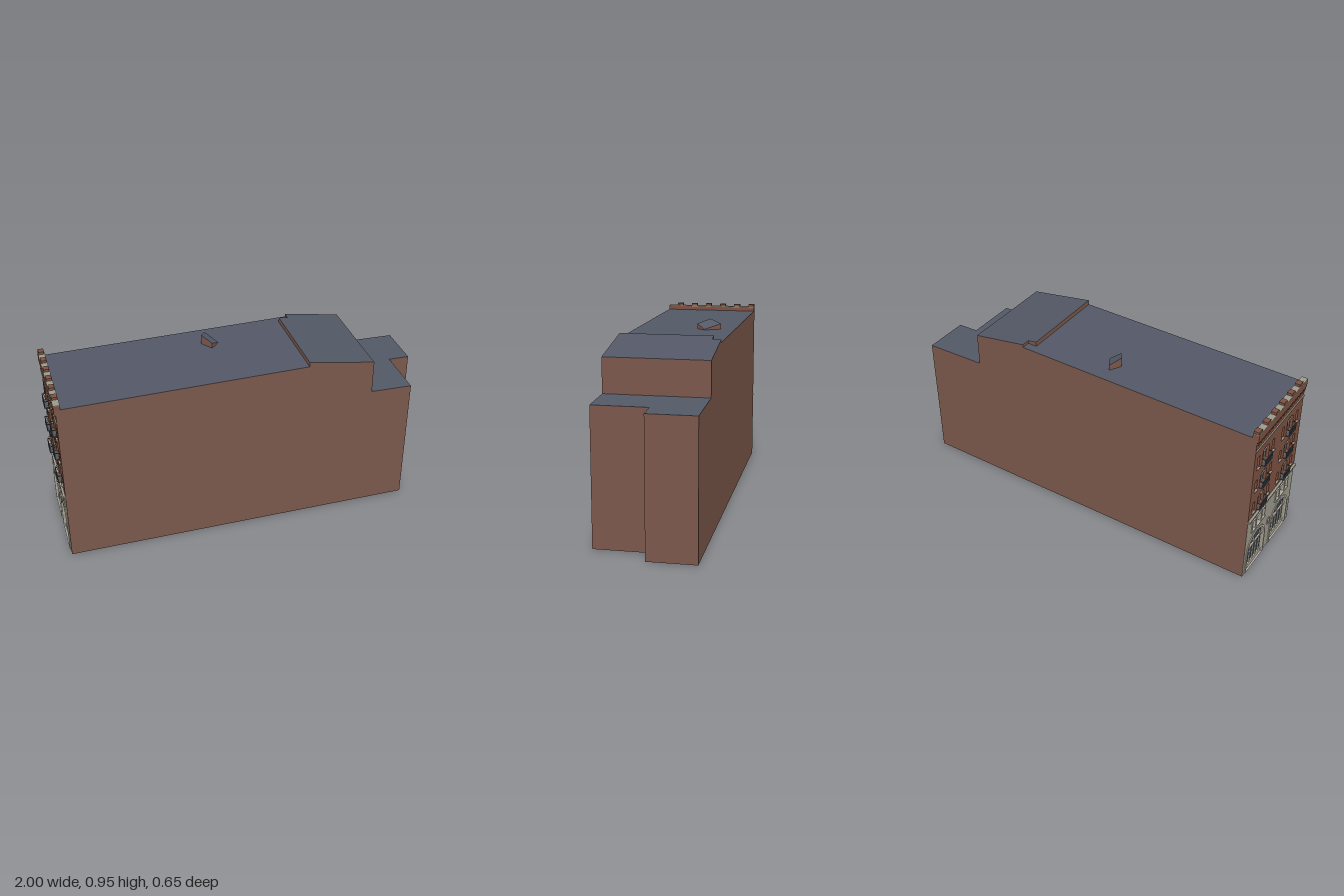
import * as THREE from 'three';

const mat = (name, color) => {
  const m = new THREE.MeshStandardMaterial({ color, side: THREE.DoubleSide });
  m.name = name;
  return m;
};

export function createModel() {
  const brick = mat('brick', 0x7a574b);
  const facadeBrick = mat('facade brick', 0x7d5140);
  const slate = mat('slate', 0x535866);
  const stone = mat('stone', 0x9c988c);
  const trim = mat('pale trim', 0xbdb8aa);
  const glass = mat('glass', 0x3d4558);
  const iron = mat('iron', 0x50555c);

  const model = new THREE.Group();
  model.name = 'townhouse';
  const house = new THREE.Group();
  house.name = 'house';
  house.rotation.y = -0.0706;
  model.add(house);

  const add = (parent, name, geo, material, x = 0, y = 0, z = 0) => {
    const mesh = new THREE.Mesh(geo, material);
    mesh.name = name;
    mesh.position.set(x, y, z);
    parent.add(mesh);
    return mesh;
  };
  const box = (parent, name, material, w, h, d, x, y, z) =>
    add(parent, name, new THREE.BoxGeometry(w, h, d), material, x, y, z);

  // Flat convex face from its corner points
  const face = (name, material, ...pts) => {
    const tri = [];
    for (let i = 1; i < pts.length - 1; i++) tri.push(...pts[0], ...pts[i], ...pts[i + 1]);
    const geo = new THREE.BufferGeometry();
    geo.setAttribute('position', new THREE.Float32BufferAttribute(tri, 3));
    geo.computeVertexNormals();
    return add(house, name, geo, material);
  };

  // Key lines of the plan and roof heights along the length
  const F = -0.968, W = 0.262, step = 0.65, endA = 0.871, endB = 0.983, inner = -0.017;
  const ridge = 0.3, notchX = 0.35, notchZ = -0.217;
  const roofY = (x) => 0.895 + (x + 0.945) * 0.012;
  const upperY = (x) => 0.935 - (x - ridge) * 0.171;
  const wingY = (x) => 0.698 - (x - step) * 0.024;

  // Long side walls
  const sideWall = (name, z, end, start) => {
    const pts = [[F, 0], [end, 0], [end, wingY(end)], [step, wingY(step)], [step, upperY(step)],
      [start, upperY(start)], [start, roofY(start)], [F, roofY(F)]];
    const shape = new THREE.Shape(pts.map((p) => new THREE.Vector2(...p)));
    add(house, name, new THREE.ShapeGeometry(shape), brick, 0, 0, z);
  };
  sideWall('frontWall', W, endA, ridge);
  sideWall('backWall', -W, endB, notchX);

  // Upright walls between two plan points
  const wall = (name, x1, z1, x2, z2, b1, b2, t1, t2) =>
    face(name, brick, [x1, b1, z1], [x2, b2, z2], [x2, t2, z2], [x1, t1, z1]);
  const yA = wingY(endA), yB = wingY(endB);
  wall('endWall', endA, W, endA, inner, 0, 0, yA, yA);
  wall('returnWall', endA, inner, endB, inner, 0, 0, yA, yB);
  wall('wingEndWall', endB, inner, endB, -W, 0, 0, yB, yB);
  wall('upperEndWall', step, W, step, -W, wingY(step), wingY(step), upperY(step), upperY(step));
  wall('riser', ridge, notchZ, ridge, W, roofY(ridge), roofY(ridge), upperY(ridge), upperY(ridge));
  wall('notchSide', notchX, notchZ, ridge, notchZ, roofY(notchX), roofY(ridge), upperY(notchX), upperY(ridge));
  wall('notchEnd', notchX, -W, notchX, notchZ, roofY(notchX), roofY(notchX), upperY(notchX), upperY(notchX));

  // Roof slopes
  const roof = (name, yAt, x1, x2, z1, z2) =>
    face(name, slate, [x1, yAt(x1), z2], [x2, yAt(x2), z2], [x2, yAt(x2), z1], [x1, yAt(x1), z1]);
  roof('mainRoof', roofY, F, ridge, -W, W);
  roof('notchRoof', roofY, ridge, notchX, -W, notchZ);
  roof('upperRoof', upperY, ridge, step, notchZ, W);
  roof('upperRoofEdge', upperY, notchX, step, -W, notchZ);
  roof('lowRoof', wingY, step, endA, -W, W);
  roof('wingRoof', wingY, endA, endB, -W, inner);

  // Roof hatch with a diamond plan and a tilted lid
  const hatch = [[-0.154, 0.955, -0.124], [-0.112, 0.933, -0.062], [-0.068, 0.909, -0.105], [-0.119, 0.934, -0.187]];
  face('hatchLid', slate, ...hatch);
  hatch.forEach((p, i) => {
    const q = hatch[(i + 1) % 4];
    wall('hatchSide', p[0], p[2], q[0], q[2], roofY(p[0]), roofY(q[0]), p[1], q[1]);
  });

  // Street facade: x runs along it, z points out of it
  const facade = new THREE.Group();
  facade.name = 'facade';
  facade.position.x = F;
  facade.rotation.y = -Math.PI / 2;
  house.add(facade);

  const opening = (Type, { x, y, w, h, rise = 0 }) => {
    const p = new Type();
    p.moveTo(x - w / 2, y);
    p.lineTo(x + w / 2, y);
    p.lineTo(x + w / 2, y + h);
    if (rise) p.absellipse(x, y + h, w / 2, rise, 0, Math.PI, false);
    else p.lineTo(x - w / 2, y + h);
    p.closePath();
    return p;
  };
  const extrude = (shape, depth) =>
    new THREE.ExtrudeGeometry(shape, { depth, bevelEnabled: false, curveSegments: 12 });
  const panel = (name, material, y, h, holes) => {
    const shape = opening(THREE.Shape, { x: 0, y, w: 2 * W - 0.002, h });
    shape.holes = holes.map((o) => opening(THREE.Path, o));
    add(facade, name, extrude(shape, 0.02), material, 0, 0, -0.02);
    holes.forEach((o) =>
      add(facade, 'pane', new THREE.ShapeGeometry(opening(THREE.Shape, o)), glass, 0, 0, -0.014));
  };
  // Raised surround following an opening
  const surround = (o, t) => {
    const shape = opening(THREE.Shape, { ...o, w: o.w + 2 * t, rise: o.rise ? o.rise + t : 0, h: o.h + (o.rise ? 0 : t) });
    shape.holes = [opening(THREE.Path, o)];
    add(facade, 'surround', extrude(shape, 0.005), trim, 0, 0, 0);
  };

  const columns = [-0.138, 0.125];
  const floors = [[0.4, 0.07], [0.54, 0.07], [0.68, 0.078]];
  const upper = [], lower = [], arches = [];

  for (const c of columns) {
    // Upper storeys: a balcony window between two slim ones
    for (const [y, h] of floors) {
      upper.push({ x: c, y, w: 0.066, h: h - 0.005, rise: 0.02 });
      for (const s of [-1, 1]) {
        upper.push({ x: c + s * 0.078, y: y + 0.012, w: 0.022, h: h - 0.01 });
        box(facade, 'sill', stone, 0.03, 0.006, 0.008, c + s * 0.078, y + 0.009, 0.004);
        box(facade, 'windowBar', trim, 0.003, h + 0.004, 0.005, c + s * 0.012, y + h / 2, -0.011);
      }
      box(facade, 'transom', trim, 0.066, 0.004, 0.005, c, y + h * 0.72, -0.011);
      box(facade, 'balconyFloor', iron, 0.08, 0.005, 0.02, c, y, 0.01);
      box(facade, 'balconyRail', iron, 0.08, 0.004, 0.004, c, y + 0.038, 0.018);
      for (let i = 0; i < 9; i++)
        box(facade, 'baluster', iron, 0.003, 0.036, 0.003, c - 0.038 + i * 0.0095, y + 0.02, 0.018);
      for (const s of [-1, 1])
        box(facade, 'balconySide', iron, 0.003, 0.004, 0.018, c + s * 0.0385, y + 0.038, 0.009);
    }
    // Mezzanine windows
    for (const dx of [-0.052, 0, 0.052]) {
      lower.push({ x: c + dx, y: 0.275, w: dx ? 0.028 : 0.046, h: 0.06 });
      box(facade, 'mezzanineBar', trim, 0.003, 0.06, 0.005, c + dx, 0.305, -0.011);
    }
    box(facade, 'mezzanineSill', trim, 0.15, 0.007, 0.008, c, 0.27, 0.004);
    // Arched shopfront
    arches.push({ x: c, y: 0.004, w: 0.18, h: 0.135, rise: 0.085 });
    box(facade, 'shopTransom', trim, 0.18, 0.012, 0.008, c, 0.135, -0.01);
    box(facade, 'shopBase', trim, 0.18, 0.022, 0.008, c, 0.015, -0.01);
    for (let i = -2; i <= 2; i++) {
      const h = 0.135 + (i % 2 ? 0 : 0.055 - Math.abs(i) * 0.014);
      box(facade, 'shopMullion', trim, 0.006, h, 0.006, c + i * 0.034, h / 2 + 0.004, -0.011);
    }
  }
  // Narrow niche between the arches
  lower.push({ x: -0.006, y: 0.17, w: 0.02, h: 0.025, rise: 0.01 });

  panel('brickFacade', facadeBrick, 0.37, 0.525, upper);
  panel('stoneBase', stone, 0, 0.37, [...lower, ...arches]);
  arches.forEach((o) => surround(o, 0.012));
  lower.forEach((o) => surround(o, 0.004));
  box(facade, 'stringCourse', stone, 0.524, 0.01, 0.014, 0, 0.374, 0.005);
  box(facade, 'frieze', stone, 0.522, 0.006, 0.006, 0, 0.82, 0.003);

  // Parapet with coping, corbels and merlons
  box(facade, 'parapet', facadeBrick, 0.524, 0.044, 0.033, 0, 0.895, -0.0075);
  box(facade, 'coping', stone, 0.525, 0.004, 0.034, 0, 0.918, -0.0075);
  for (let i = 0; i < 18; i++)
    box(facade, 'corbel', facadeBrick, 0.014, 0.018, 0.007, -0.25 + i * 0.0294, 0.864, 0.0035);
  for (let i = 0; i < 6; i++)
    box(facade, 'merlon', facadeBrick, 0.034, 0.015, 0.028, -0.244 + i * 0.0872, 0.926, -0.0075);

  return model;
}
